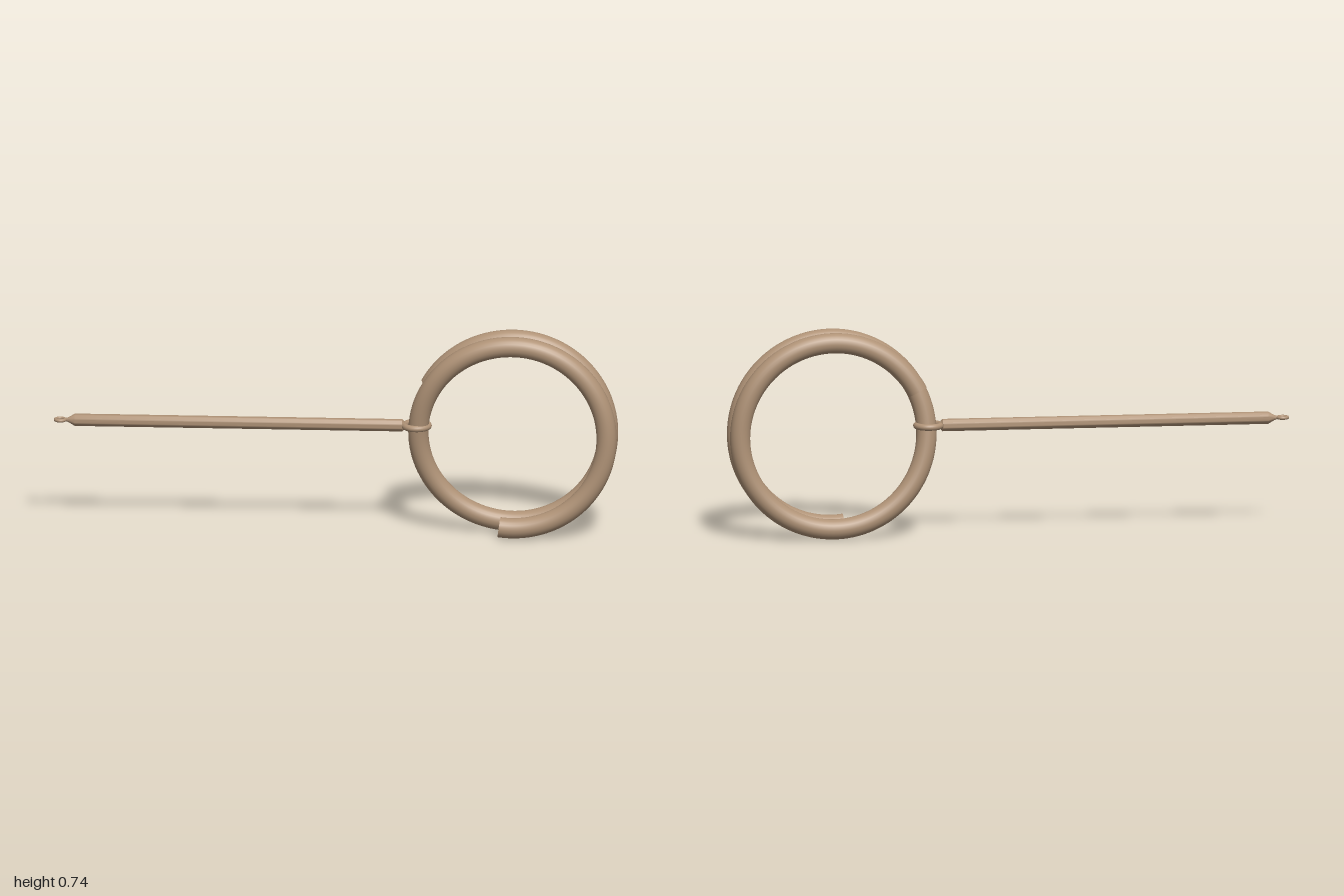
import * as THREE from 'three';
import { toCreasedNormals } from 'three/addons/utils/BufferGeometryUtils.js';

const DEG = Math.PI / 180;
const WIRE = 0.036; // radius of the coil wire
const COIL = 0.335; // radius of the coil centreline

// Two-turn coil: flat over the right half, stepping back over the left half
class CoilCurve extends THREE.Curve {
  getPoint(t, target = new THREE.Vector3()) {
    const deg = THREE.MathUtils.lerp(-98, 512, t);
    const turn = Math.floor((deg + 90) / 360);
    const a = deg * DEG;
    const onLeft = deg + 90 - turn * 360 > 180;
    let z = 0.057 - turn * 0.089;
    if (deg < -90) z = 0.057;
    else if (onLeft) z -= 0.0445 * (1 - Math.sin(a));
    return target.set(0.628 + COIL * Math.cos(a), 0.373 + COIL * Math.sin(a), z);
  }
}

export function createModel() {
  const model = new THREE.Group();
  const material = new THREE.MeshStandardMaterial({ color: 0xb09377 });

  function add(name, geometry, parent = model) {
    const mesh = new THREE.Mesh(geometry, material);
    mesh.name = name;
    parent.add(mesh);
    return mesh;
  }

  // Split ring with flat end caps
  const ring = new THREE.Group();
  ring.name = 'splitRing';
  model.add(ring);
  const curve = new CoilCurve();
  add('coil', new THREE.TubeGeometry(curve, 200, WIRE, 24), ring);
  for (const t of [0, 1]) {
    const cap = add(t ? 'backEndCap' : 'frontEndCap', new THREE.CircleGeometry(WIRE, 24), ring);
    const out = curve.getTangentAt(t).multiplyScalar(t ? 1 : -1);
    cap.position.copy(curve.getPointAt(t));
    cap.quaternion.setFromUnitVectors(new THREE.Vector3(0, 0, 1), out);
  }

  // Rod with tapered necks, turned to lie along x
  const profile = [
    [0, -0.957], [0.006, -0.957], [0.009, -0.948], [0.022, -0.925],
    [0.022, 0.236], [0.012, 0.245], [0, 0.245],
  ].map(([r, x]) => new THREE.Vector2(r, x));
  const rod = new THREE.LatheGeometry(profile, 24);
  rod.rotateZ(-Math.PI / 2);
  add('rod', toCreasedNormals(rod, 35 * DEG)).position.set(0, 0.397, 0.008);

  // Flat-lying loops: one around the coil wire, one small eye at the far tip
  const loops = [
    ['ringLoop', 0.286, 0.043, 0.0115],
    ['tipEye', -0.977, 0.017, 0.006],
  ];
  for (const [name, x, radius, tube] of loops) {
    const loop = add(name, new THREE.TorusGeometry(radius, tube, 14, 40));
    loop.rotation.x = Math.PI / 2;
    loop.position.set(x, 0.397, 0.008);
  }

  return model;
}
